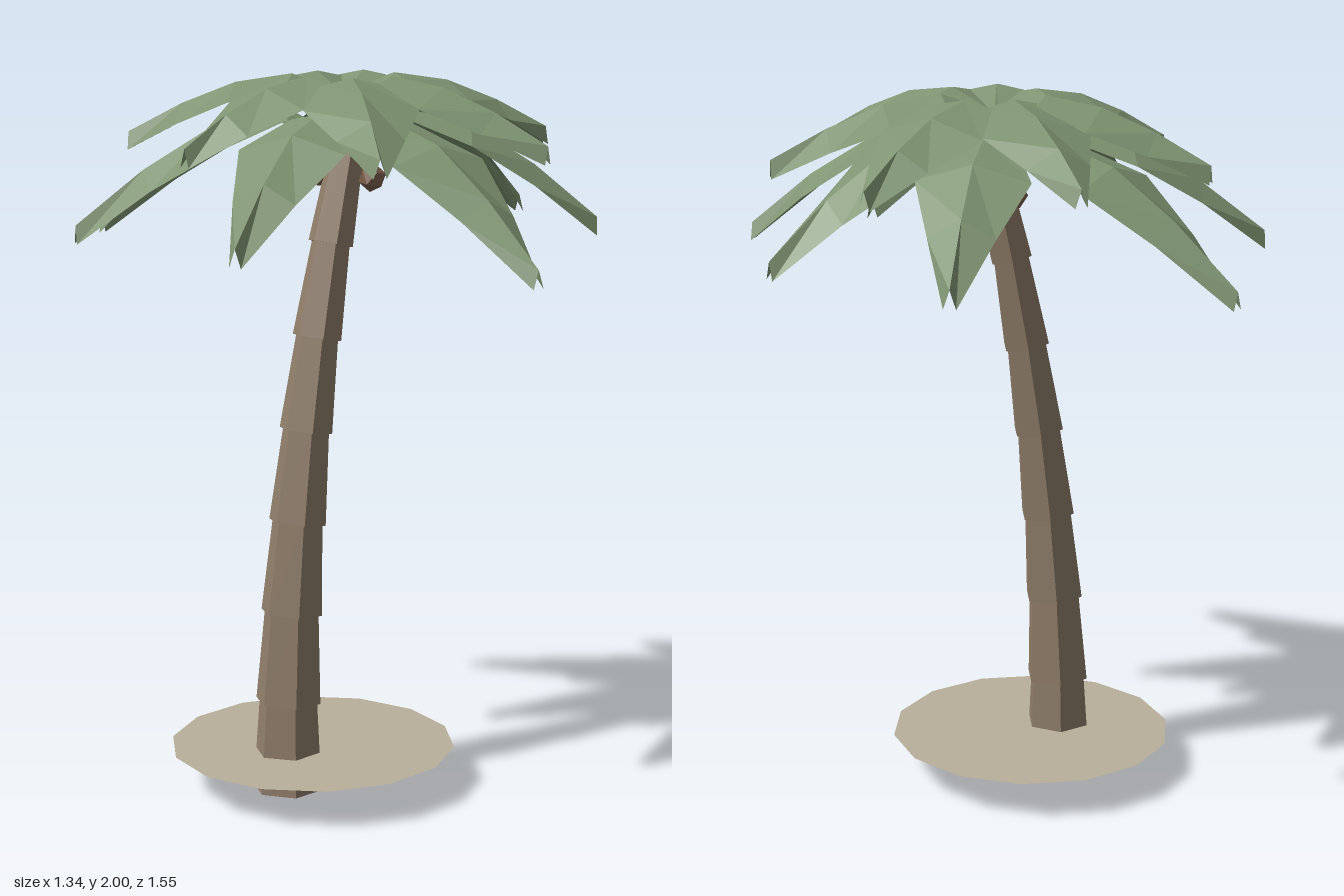
import * as THREE from 'three';

const material = (name, color, side = THREE.FrontSide) => {
  const m = new THREE.MeshStandardMaterial({ color, side });
  m.name = name;
  return m;
};

// Split shared corners so every facet stays flat
const faceted = (geometry) => {
  const g = geometry.index ? geometry.toNonIndexed() : geometry;
  g.computeVertexNormals();
  return g;
};

// Stations along a frond: fraction of length, half width, drop of the sides below the ridge
const SECTIONS = [
  [0, 0.012, 0.005],
  [0.24, 0.085, 0.018],
  [0.5, 0.155, 0.045],
  [0.75, 0.09, 0.05],
  [1, 0.017, 0.05],
];

// Folded frond running along +x, with ridge heights given per station
function frondGeometry(length, heights) {
  const positions = [];
  const index = [];
  SECTIONS.forEach(([t, w, drop], i) => {
    const x = t * length, y = heights[i];
    positions.push(x, y - drop, -w, x, y, 0, x, y - drop, w);
    if (i === 0) return;
    for (let k = 0; k < 2; k++) {
      const a = (i - 1) * 3 + k, b = a + 1, c = a + 3, d = a + 4;
      index.push(a, b, c, b, d, c);
    }
  });
  const g = new THREE.BufferGeometry();
  g.setAttribute('position', new THREE.Float32BufferAttribute(positions, 3));
  g.setIndex(index);
  return faceted(g);
}

export function createModel() {
  const model = new THREE.Group();
  model.name = 'palmTree';
  const bark = material('bark brown', 0x8f7d69);
  const leaf = material('leaf green', 0x7f9472, THREE.DoubleSide);
  const sand = material('sand', 0xb8b09b, THREE.DoubleSide);
  const husk = material('coconut brown', 0x7d604c);

  const add = (name, geometry, mat, parent = model) => {
    const mesh = new THREE.Mesh(geometry, mat);
    mesh.name = name;
    parent.add(mesh);
    return mesh;
  };

  // Ground patch, a thin sheet that the trunk pierces
  const ground = add('groundPatch', faceted(new THREE.CircleGeometry(0.405, 14)), sand);
  ground.rotation.set(-Math.PI / 2, 0, 0);
  ground.position.set(-0.15, 0.11, -0.015);

  // Leaning trunk of stacked, tapering six-sided segments
  const trunk = new THREE.Group();
  trunk.name = 'trunk';
  model.add(trunk);
  const count = 7, top = 1.795;
  const spine = (i) => {
    const t = i / count;
    return new THREE.Vector3(-0.25 + 0.24 * t * t, 0.004 + top * t, -0.015);
  };
  const up = new THREE.Vector3(0, 1, 0);
  for (let i = 0; i < count; i++) {
    const a = spine(i), b = spine(i + 1);
    const axis = b.clone().sub(a);
    const r = 0.1 - 0.006 * i;
    const g = new THREE.CylinderGeometry(r - 0.016, r, axis.length() + 0.008, 6, 1, false, Math.PI / 6);
    const segment = add('trunkSegment', faceted(g), bark, trunk);
    segment.position.copy(a).add(b).multiplyScalar(0.5);
    segment.quaternion.setFromUnitVectors(up, axis.normalize());
  }

  // Coconuts around the top of the trunk
  [[-0.04, 1.725, -0.077], [0.062, 1.73, -0.03], [0.01, 1.72, 0.062]].forEach((p, i) => {
    const nut = add('coconut', faceted(new THREE.IcosahedronGeometry(0.04, 0)), husk);
    nut.position.set(...p);
    nut.rotation.set(0.4 + i, 0.7 * i, 0.3);
  });

  // Two tiers of fronds, each reaching its own tip (x, z)
  const tiers = [
    {
      name: 'lowerFrond',
      heights: [1.82, 1.905, 1.865, 1.755, 1.61],
      tips: [[-0.265, -0.77], [-0.105, 0.77], [0.67, 0.02], [-0.665, -0.395],
        [-0.655, 0.23], [0.455, -0.515], [0.46, 0.49]],
    },
    {
      name: 'upperFrond',
      heights: [1.945, 2.0, 1.975, 1.915, 1.835],
      tips: [[-0.385, -0.5], [0.09, -0.57], [0.565, -0.29], [-0.57, -0.055],
        [0.545, 0.225], [-0.38, 0.475], [0.155, 0.57]],
    },
  ];
  const cx = -0.015, cz = -0.02;
  for (const { name, heights, tips } of tiers) {
    for (const [x, z] of tips) {
      const length = Math.hypot(x - cx, z - cz);
      // The longest fronds hang a little lower at the tip
      const sag = Math.max(0, length - 0.75) * 1.2;
      const ridge = heights.map((h, i) => h - sag * SECTIONS[i][0]);
      const frond = add(name, frondGeometry(length, ridge), leaf);
      frond.position.set(cx, 0, cz);
      frond.rotation.y = -Math.atan2(z - cz, x - cx);
    }
  }
  return model;
}
